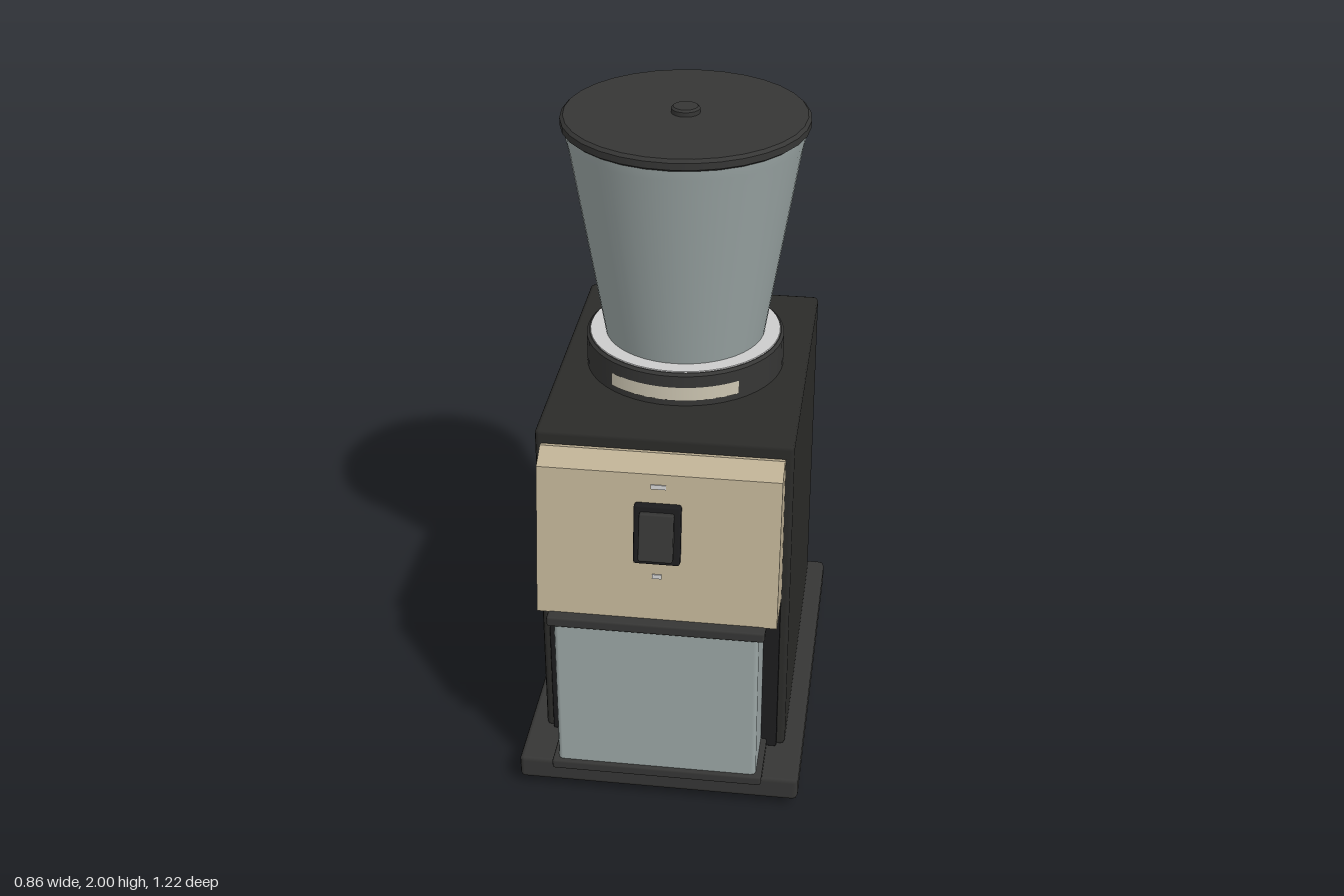
import * as THREE from 'three';
import { RoundedBoxGeometry } from 'three/addons/geometries/RoundedBoxGeometry.js';

const mat = (color) => new THREE.MeshStandardMaterial({ color, side: THREE.DoubleSide });

export function createModel() {
  const model = new THREE.Group();
  const dark = mat(0x2b2b29), trim = mat(0x363635), black = mat(0x1c1c1e);
  const glass = mat(0x9ba6a5), tan = mat(0xbdb094), steel = mat(0x646666);
  const light = mat(0xc4c4c0), cream = mat(0xcdc6b2);

  const add = (name, geometry, material, x = 0, y = 0, z = 0, parent = model) => {
    const mesh = new THREE.Mesh(geometry, material);
    mesh.name = name;
    mesh.position.set(x, y, z);
    parent.add(mesh);
    return mesh;
  };
  // Box given by its limits, with softened edges of size r
  const block = (name, material, [x0, x1], [y0, y1], [z0, z1], r = 0.01) =>
    add(name, new RoundedBoxGeometry(x1 - x0, y1 - y0, z1 - z0, 1, r), material,
      (x0 + x1) / 2, (y0 + y1) / 2, (z0 + z1) / 2);
  const lathe = (points, segments = 48) =>
    new THREE.LatheGeometry(points.map(([r, y]) => new THREE.Vector2(r, y)), segments);
  // Turned solid with crisp edges: repeated points split the normals
  const turned = (points, segments) => lathe(points.flatMap((p) => [p, p]), segments);
  const disc = (r, depth, segments = 20) => new THREE.CylinderGeometry(r, r, depth, segments).rotateX(Math.PI / 2);

  // Base plate and feet
  block('base', trim, [-0.43, 0.43], [0.03, 0.11], [-0.61, 0.578], 0.015);
  for (const x of [-0.34, 0.34]) for (const z of [0.46, -0.475])
    add('foot', new THREE.CylinderGeometry(0.055, 0.055, 0.035, 24), black, x, 0.0175, z);

  // Main housing
  block('housing', dark, [-0.375, 0.375], [0.105, 1.185], [-0.555, 0.412], 0.014);
  block('frontFrame', black, [-0.35, 0.35], [0.11, 1.13], [0.4, 0.427], 0.004);

  // Sloped control panel, extruded from its side profile
  const profile = new THREE.Shape([[0.422, 0.672], [0.58, 0.672], [0.506, 1.122], [0.445, 1.157], [0.422, 1.15]]
    .map(([z, y]) => new THREE.Vector2(z, y)));
  const panel = new THREE.ExtrudeGeometry(profile, { depth: 0.704, bevelEnabled: false });
  add('controlPanel', panel.rotateY(-Math.PI / 2), tan, 0.352);

  // Rocker switch and marks lying on the slope
  const controls = new THREE.Group();
  controls.name = 'switch';
  controls.position.set(0, 0.945, 0.536);
  controls.rotation.x = -0.165;
  model.add(controls);
  add('switchFrame', new RoundedBoxGeometry(0.136, 0.184, 0.036, 1, 0.008), black, 0, 0, 0.004, controls);
  const rocker = add('rocker', new RoundedBoxGeometry(0.1, 0.145, 0.05, 1, 0.006), trim, 0, 0, 0.022, controls);
  rocker.rotation.x = -0.08;
  add('upperMark', new THREE.BoxGeometry(0.044, 0.013, 0.004), light, 0, 0.142, 0.001, controls);
  add('lowerMark', new THREE.BoxGeometry(0.028, 0.013, 0.004), light, 0, -0.137, 0.001, controls);

  // Collecting bin with tray and lid
  block('bin', glass, [-0.302, 0.302], [0.125, 0.65], [0.415, 0.6], 0.014);
  block('binTray', trim, [-0.32, 0.32], [0.105, 0.138], [0.415, 0.612], 0.008);
  block('binLid', trim, [-0.32, 0.32], [0.64, 0.674], [0.415, 0.612], 0.008);

  // Collar, hopper and lid on a common axis
  const hopper = new THREE.Group();
  hopper.name = 'hopperAssembly';
  hopper.position.z = -0.08;
  model.add(hopper);
  add('collar', turned([[0.3, 1.18], [0.3, 1.282], [0.292, 1.29], [0, 1.29]]), trim, 0, 0, 0, hopper);
  add('collarRing', turned([[0.29, 1.288], [0.288, 1.293], [0.23, 1.293]]), light, 0, 0, 0, hopper);
  const arc = Math.asin(0.19 / 0.303);
  add('collarPlate', new THREE.CylinderGeometry(0.303, 0.303, 0.042, 24, 1, true, -arc, arc * 2),
    cream, 0, 1.226, 0, hopper);
  add('hopper', lathe([[0.24, 1.285], [0.338, 1.88], [0.346, 1.915], [0.35, 1.95]]), glass, 0, 0, 0, hopper);
  add('hopperLid', turned([[0, 1.944], [0.35, 1.944], [0.361, 1.952], [0.361, 1.972], [0.352, 1.981], [0, 1.981]], 32),
    trim, 0, 0, 0, hopper);
  add('lidKnob', turned([[0.042, 1.975], [0.042, 1.994], [0.036, 2], [0, 2]], 24), trim, 0, 0, 0, hopper);

  // Back plate with vent slots and screws
  const half = 0.25, r = 0.012;
  const plate = new THREE.Shape([[-0.352, 0.125], [0.352, 0.125], [0.352, 1.168], [-0.352, 1.168]]
    .map(([x, y]) => new THREE.Vector2(x, y)));
  for (let i = 0; i < 5; i++) {
    const y = 1.05 - i * 0.044;
    const slot = new THREE.Path();
    slot.absarc(half, y, r, -Math.PI / 2, Math.PI / 2);
    slot.absarc(-half, y, r, Math.PI / 2, Math.PI * 1.5);
    slot.closePath();
    plate.holes.push(slot);
  }
  add('backPlate', new THREE.ExtrudeGeometry(plate, { depth: 0.012, bevelEnabled: false, curveSegments: 6 }),
    steel, 0, 0, -0.563);
  for (const x of [-0.32, 0.32]) for (const y of [0.155, 1.14])
    add('screw', disc(0.012, 0.008, 12), light, x, y, -0.565);

  // Rear adjuster knob
  add('rearKnobStem', disc(0.016, 0.045), black, -0.26, 0.172, -0.577);
  add('rearKnob', disc(0.04, 0.014), black, -0.26, 0.172, -0.595);

  return model;
}
